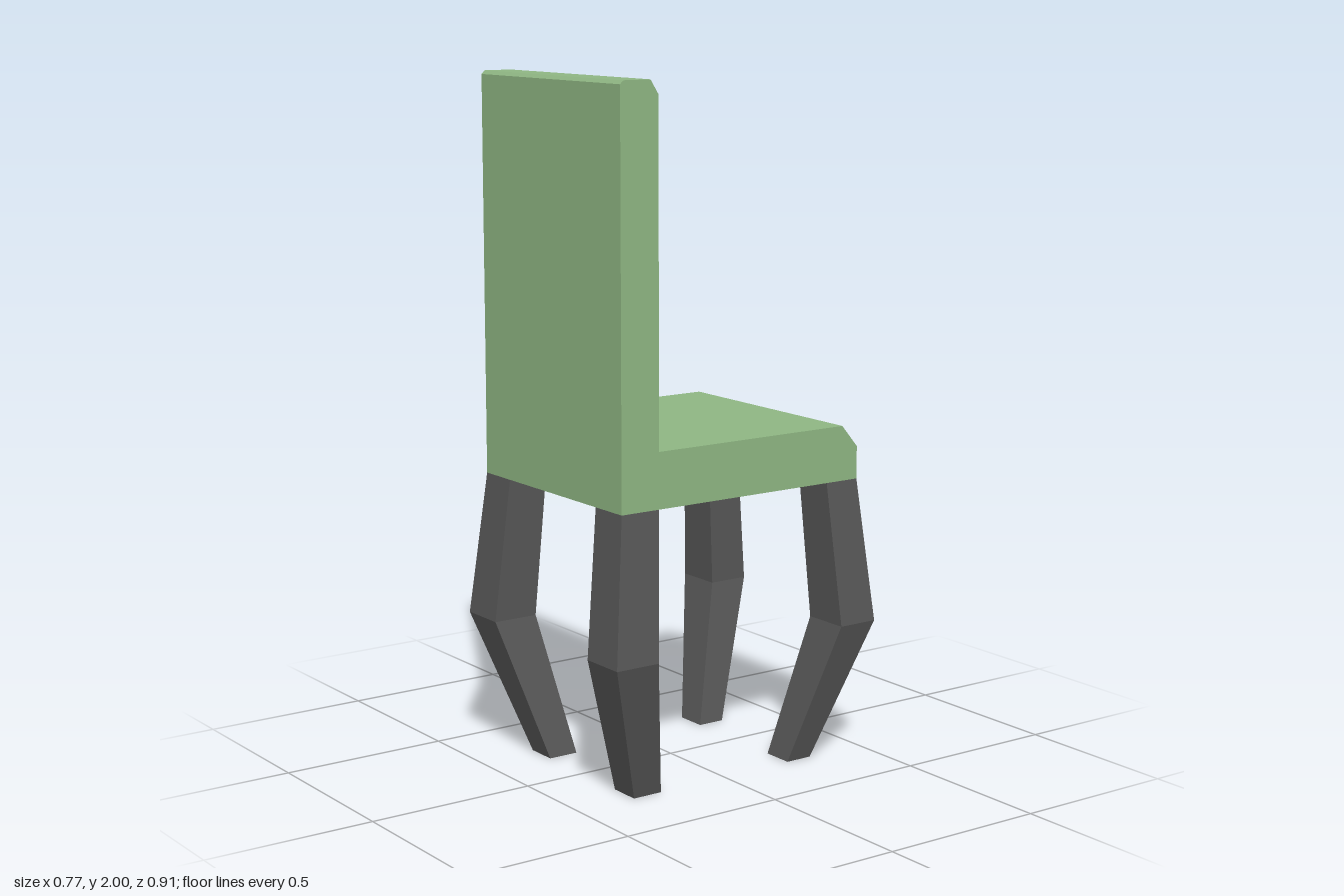
import * as THREE from 'three';

const green = new THREE.MeshStandardMaterial({ color: 0x8fb783, flatShading: true });
const dark = new THREE.MeshStandardMaterial({ color: 0x585858, flatShading: true });

// Side profile as [z, y], extruded across the chair's width
function createSeatAndBack() {
  const profile = [
    [-0.41, 0.84], [0.41, 0.84], [0.41, 1.99], [0.4, 2], [0.313, 2],
    [0.287, 1.96], [0.287, 1], [-0.355, 1], [-0.41, 0.935],
  ];
  const width = 0.69;
  const shape = new THREE.Shape(profile.map(([z, y]) => new THREE.Vector2(-z, y)));
  const geometry = new THREE.ExtrudeGeometry(shape, { depth: width, bevelEnabled: false });
  geometry.translate(0, 0, -width / 2);
  geometry.rotateY(Math.PI / 2);
  const mesh = new THREE.Mesh(geometry, green);
  mesh.name = 'seatAndBackrest';
  return mesh;
}

// Bent square leg: each level is [y, inner x, outer x, inner z, outer z], top to bottom
function createLeg(name, sideX, sideZ, levels) {
  let geometry = new THREE.BoxGeometry(2, 2, 2, 1, 2, 1);
  const p = geometry.attributes.position;
  for (let i = 0; i < p.count; i++) {
    const [y, x0, x1, z0, z1] = levels[1 - Math.round(p.getY(i))];
    const x = p.getX(i) * sideX > 0 ? x1 : x0;
    const z = p.getZ(i) * sideZ > 0 ? z1 : z0;
    p.setXYZ(i, x * sideX, y, z * sideZ);
  }
  geometry = geometry.toNonIndexed();
  geometry.computeVertexNormals();
  const mesh = new THREE.Mesh(geometry, dark);
  mesh.name = name;
  return mesh;
}

export function createModel() {
  const chair = new THREE.Group();
  chair.name = 'chair';
  chair.add(createSeatAndBack());

  // Legs below the backrest (+z) and below the open seat edge (-z)
  const backrestLeg = [
    [0.84, 0.22, 0.345, 0.287, 0.41],
    [0.42, 0.24, 0.383, 0.315, 0.453],
    [0, 0.168, 0.263, 0.223, 0.315],
  ];
  const seatEdgeLeg = [
    [0.84, 0.22, 0.345, 0.3, 0.41],
    [0.42, 0.24, 0.383, 0.33, 0.453],
    [0, 0.168, 0.263, 0.232, 0.315],
  ];
  for (const side of [-1, 1]) {
    const label = side > 0 ? 'Left' : 'Right';
    chair.add(createLeg('backrestLeg' + label, side, 1, backrestLeg));
    chair.add(createLeg('seatEdgeLeg' + label, side, -1, seatEdgeLeg));
  }
  return chair;
}
